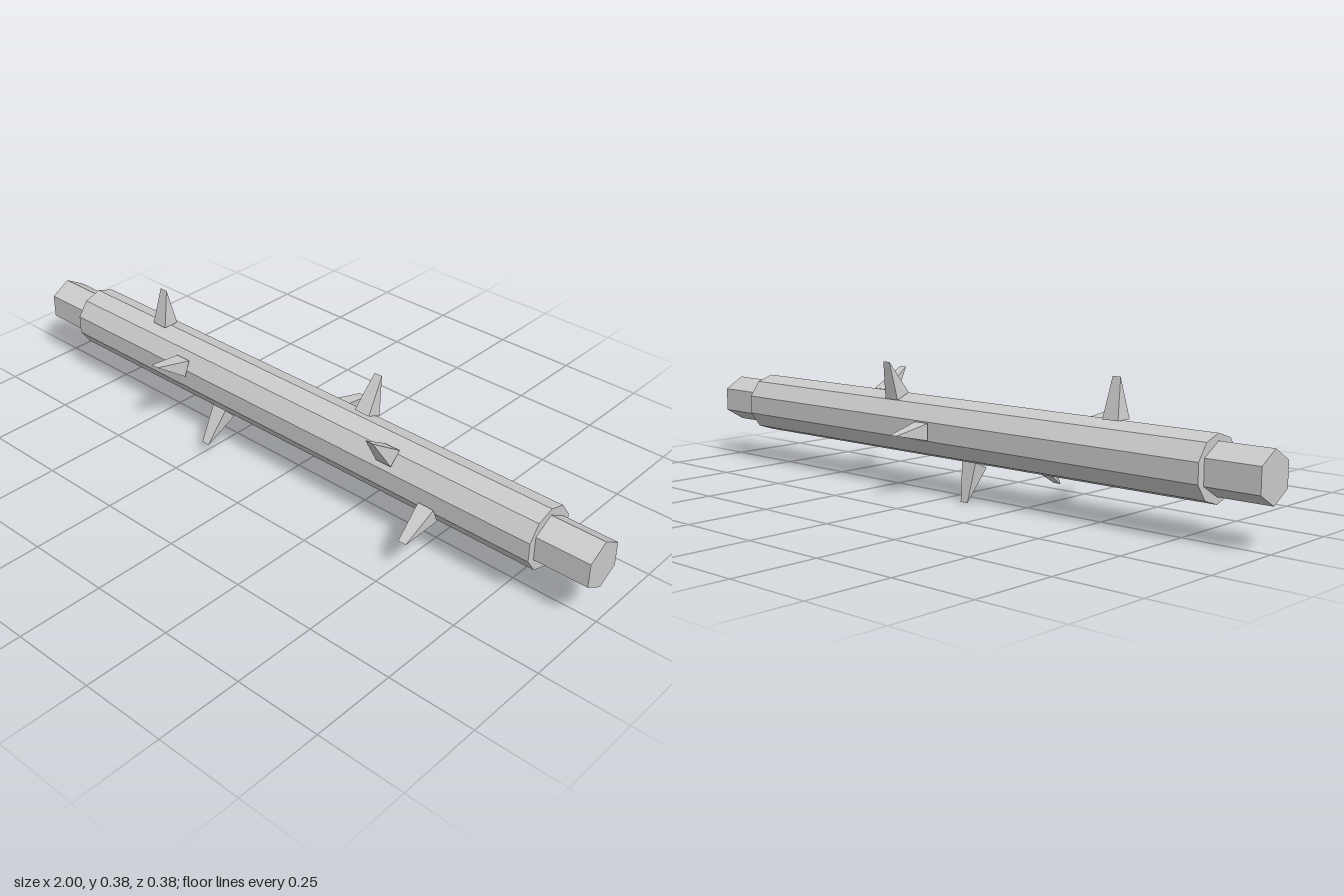
import * as THREE from 'three';

const AXIS_Y = 0.187, AXIS_Z = 0.008;   // centre line of the shaft
const SPIKES = 8, SPACING = 0.1528, TURN = THREE.MathUtils.degToRad(67.5);

export function createModel() {
  const model = new THREE.Group();
  model.name = 'spikedRoller';
  const material = new THREE.MeshStandardMaterial({ color: 0xcccccc, flatShading: true });

  const roller = new THREE.Group();
  roller.name = 'roller';
  roller.position.set(0, AXIS_Y, AXIS_Z);
  model.add(roller);

  // Prism lying along x with one corner pointing straight up
  function prism(name, radius, length, sides) {
    const geometry = new THREE.CylinderGeometry(radius, radius, length, sides, 1, false, Math.PI / 2);
    geometry.rotateZ(Math.PI / 2);
    const mesh = new THREE.Mesh(geometry, material);
    mesh.name = name;
    roller.add(mesh);
  }
  prism('hexAxle', 0.069, 2, 6);
  prism('drum', 0.088, 1.688, 10);

  // Wedge spike: square base narrowing to a short ridge along x
  const height = 0.11;
  const wedge = new THREE.BoxGeometry(0.05, height, 0.049);
  wedge.translate(0, height / 2, 0);
  const p = wedge.attributes.position;
  for (let i = 0; i < p.count; i++) {
    if (p.getY(i) > height / 2) {
      p.setX(i, p.getX(i) * 0.5);
      p.setZ(i, 0);
    }
  }
  wedge.translate(0, 0.0885, 0);
  wedge.computeVertexNormals();

  // Spikes wind around the drum in a spiral
  for (let i = 0; i < SPIKES; i++) {
    const spike = new THREE.Mesh(wedge, material);
    spike.name = `spike${i + 1}`;
    spike.position.x = -0.537 + i * SPACING;
    spike.rotation.x = i * TURN;
    roller.add(spike);
  }
  return model;
}
